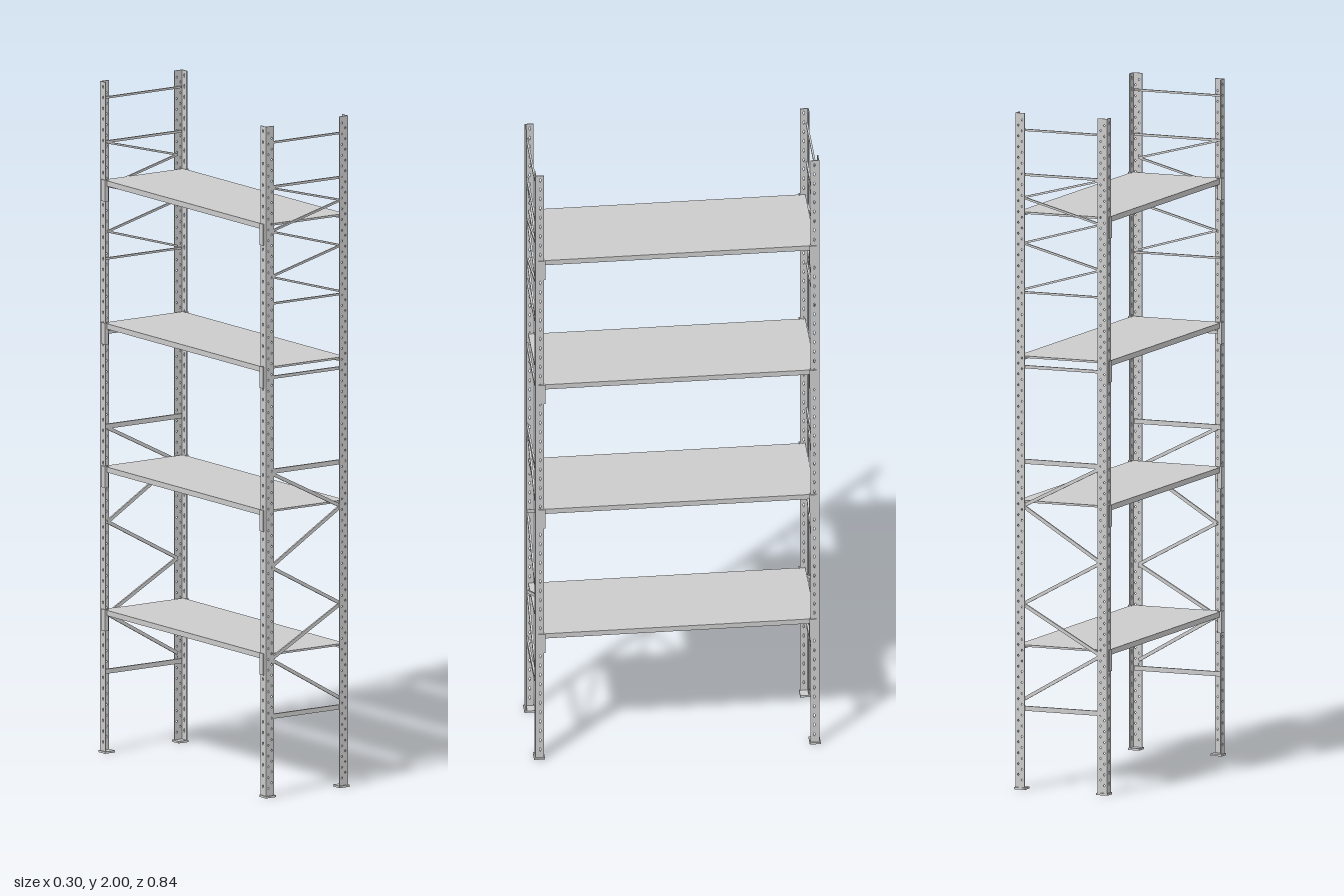
import * as THREE from 'three';

const grey = new THREE.MeshStandardMaterial({ color: 0xcccccc, flatShading: true });

function mesh(name, geometry, x = 0, y = 0, z = 0) {
  const m = new THREE.Mesh(geometry, grey);
  m.name = name;
  m.position.set(x, y, z);
  return m;
}
const box = (name, w, h, d, x, y, z) => mesh(name, new THREE.BoxGeometry(w, h, d), x, y, z);

// Upright steel strip, centred on x, with columns of diamond holes [x, first y, half width, half height]
function perforatedStrip(width, height, thickness, columns) {
  const shape = new THREE.Shape();
  shape.moveTo(-width / 2, 0);
  shape.lineTo(width / 2, 0);
  shape.lineTo(width / 2, height);
  shape.lineTo(-width / 2, height);
  shape.closePath();
  for (const [x, start, rx, ry] of columns) {
    for (let y = start; y < height - 0.01; y += 0.032) {
      const hole = new THREE.Path();
      hole.moveTo(x, y - ry);
      hole.lineTo(x - rx, y);
      hole.lineTo(x, y + ry);
      hole.lineTo(x + rx, y);
      hole.closePath();
      shape.holes.push(hole);
    }
  }
  const g = new THREE.ExtrudeGeometry(shape, { depth: thickness, bevelEnabled: false });
  return g.translate(0, 0, -thickness / 2);
}

// Flat bar between two points in the plane of an end frame
function brace(name, x1, y1, x2, y2, height, z) {
  const bar = box(name, Math.hypot(x2 - x1, y2 - y1), height, 0.006,
    (x1 + x2) / 2, (y1 + y2) / 2, z);
  bar.rotation.z = Math.atan2(y2 - y1, x2 - x1);
  return bar;
}

export function createModel() {
  const model = new THREE.Group();
  model.name = 'shelvingRack';
  const shelfHeights = [0.419, 0.846, 1.273, 1.699];

  // Perforated angle posts on foot plates
  const webGeometry = perforatedStrip(0.03, 1.997, 0.003,
    [[-0.006, 0.025, 0.003, 0.004], [0.006, 0.041, 0.003, 0.004]]);
  const legGeometry = perforatedStrip(0.023, 1.997, 0.003, [[0, 0.03, 0.003, 0.007]]);
  legGeometry.rotateY(Math.PI / 2);
  for (const sx of [-1, 1]) {
    for (const sz of [-1, 1]) {
      const post = new THREE.Group();
      post.name = (sz > 0 ? 'front' : 'back') + (sx > 0 ? 'Left' : 'Right') + 'Post';
      post.add(
        mesh('postWeb', webGeometry, sx * 0.132, 0.003, sz * 0.4155),
        mesh('postFlange', legGeometry, sx * 0.1455, 0.003, sz * 0.4025),
        box('footPlate', 0.036, 0.006, 0.032, sx * 0.132, 0.003, sz * 0.405)
      );
      // Hooked connector plates at every shelf
      for (const y of shelfHeights) {
        post.add(box('connectorPlate', 0.003, 0.064, 0.02, sx * 0.1485, y - 0.022, sz * 0.398));
        post.add(box('connectorReturn', 0.01, 0.064, 0.003, sx * 0.143, y - 0.022, sz * 0.3895));
      }
      model.add(post);
    }
  }

  // End frames: level bars [y, height] and zigzag bracing [heights along the zigzag]
  const levels = [[1.95, 0.006], [1.818, 0.007], [1.47, 0.006], [1.25, 0.009], [0.97, 0.014], [0.24, 0.014]];
  const zigzags = [
    { height: 0.006, points: [1.815, 1.75, 1.685, 1.615, 1.55, 1.478] },
    { height: 0.01, points: [0.965, 0.838, 0.685, 0.548, 0.41, 0.265] }
  ];
  for (const sz of [-1, 1]) {
    const frame = new THREE.Group();
    frame.name = sz > 0 ? 'frontFrameBracing' : 'backFrameBracing';
    const z = sz * 0.411;
    for (const [y, h] of levels) frame.add(brace('levelBar', -0.14, y, 0.14, y, h, z));
    for (const { height, points } of zigzags) {
      for (let i = 0; i < points.length - 1; i++) {
        const side = i % 2 ? 1 : -1;
        frame.add(brace('diagonalBar', side * 0.125, points[i], -side * 0.125, points[i + 1], height, z));
      }
    }
    model.add(frame);
  }

  // Shelves: thin deck carried on two long beams
  for (const y of shelfHeights) {
    const shelf = new THREE.Group();
    shelf.name = 'shelf';
    shelf.add(box('shelfDeck', 0.284, 0.006, 0.814, 0, y + 0.005, 0));
    for (const sx of [-1, 1]) {
      shelf.add(box('shelfBeam', 0.008, 0.016, 0.79, sx * 0.1395, y, 0));
    }
    model.add(shelf);
  }
  return model;
}
